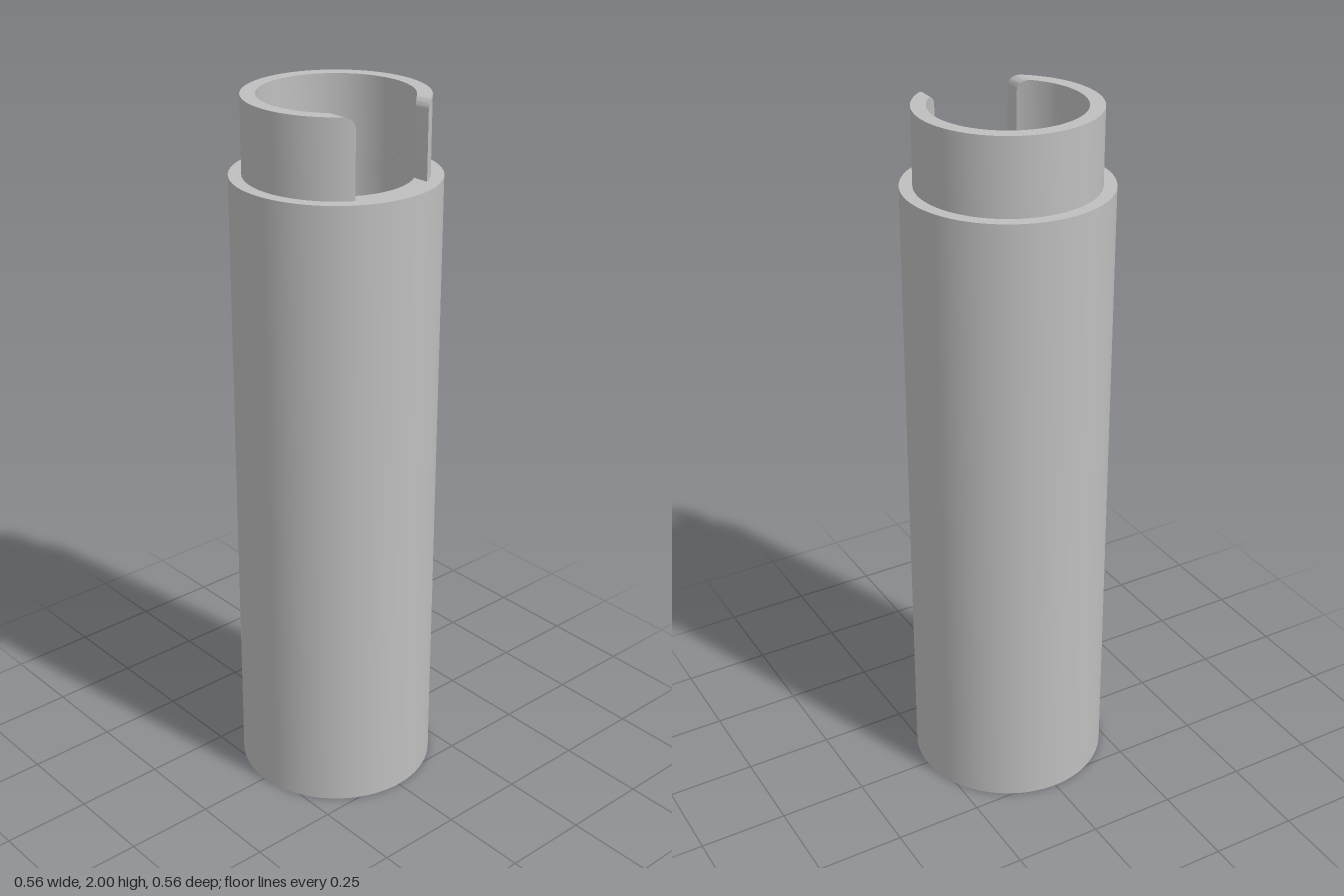
import * as THREE from 'three';
import { toCreasedNormals } from 'three/addons/utils/BufferGeometryUtils.js';

const SHOULDER = 1.79, TOP = 2;            // heights
const OUTER = 0.28, NECK = 0.245, BORE = 0.205, SOCKET = 0.242; // radii
const SLOT = 0.122, FILLET = 0.03;         // half width of the slot, rounding of its top corners

// Cross-section of the neck: outer bottom, outer top, inner top, inner bottom
function section(xo, zo, xi, zi, top) {
  return [[xo, SHOULDER, zo], [xo, top, zo], [xi, top, zi], [xi, SHOULDER, zi]];
}

// C-shaped ring with parallel slot faces and rounded upper corners
function neckGeometry() {
  const xAt = (r, z) => Math.sqrt(r * r - z * z);
  const corner = [];
  const steps = 8;
  for (let i = 0; i <= steps; i++) {
    const t = (i / steps) * Math.PI / 2;
    const z = SLOT + FILLET * (1 - Math.cos(t));
    const top = TOP - FILLET * (1 - Math.sin(t));
    corner.push(section(xAt(NECK, z), z, xAt(BORE, z), z, top));
  }
  const arc = [];
  const ao = Math.asin((SLOT + FILLET) / NECK), ai = Math.asin((SLOT + FILLET) / BORE);
  const n = 80;
  for (let i = 1; i < n; i++) {
    const o = THREE.MathUtils.lerp(ao, 2 * Math.PI - ao, i / n);
    const a = THREE.MathUtils.lerp(ai, 2 * Math.PI - ai, i / n);
    arc.push(section(NECK * Math.cos(o), NECK * Math.sin(o), BORE * Math.cos(a), BORE * Math.sin(a), TOP));
  }
  const mirrored = corner.map(s => s.map(([x, y, z]) => [x, y, -z])).reverse();
  const rings = [...corner, ...arc, ...mirrored];

  const pos = [];
  const quad = (a, b, c, d) => pos.push(...a, ...b, ...c, ...a, ...c, ...d);
  for (let i = 0; i < rings.length - 1; i++) {
    const s = rings[i], e = rings[i + 1];
    for (let j = 0; j < 3; j++) quad(s[j], s[j + 1], e[j + 1], e[j]);
  }
  const first = rings[0], last = rings[rings.length - 1];
  quad(first[0], first[3], first[2], first[1]);
  quad(last[0], last[1], last[2], last[3]);

  const g = new THREE.BufferGeometry();
  g.setAttribute('position', new THREE.Float32BufferAttribute(pos, 3));
  return toCreasedNormals(g, 0.5);
}

export function createModel() {
  const group = new THREE.Group();
  group.name = 'slottedTube';
  const grey = new THREE.MeshStandardMaterial({ color: 0xbfbfbf });
  grey.name = 'grey';

  // Long hollow body with a wider socket below and a narrower bore under the neck
  const profile = [
    [SOCKET, 0], [OUTER, 0], [OUTER, SHOULDER], [BORE, SHOULDER],
    [BORE, 1.6], [SOCKET, 1.6], [SOCKET, 0],
  ].map(([r, y]) => new THREE.Vector2(r, y));
  const body = new THREE.Mesh(toCreasedNormals(new THREE.LatheGeometry(profile, 96), 0.5), grey);
  body.name = 'tubeBody';

  // Slotted neck on the shoulder
  const neck = new THREE.Mesh(neckGeometry(), grey);
  neck.name = 'slottedNeck';

  group.add(body, neck);
  return group;
}
